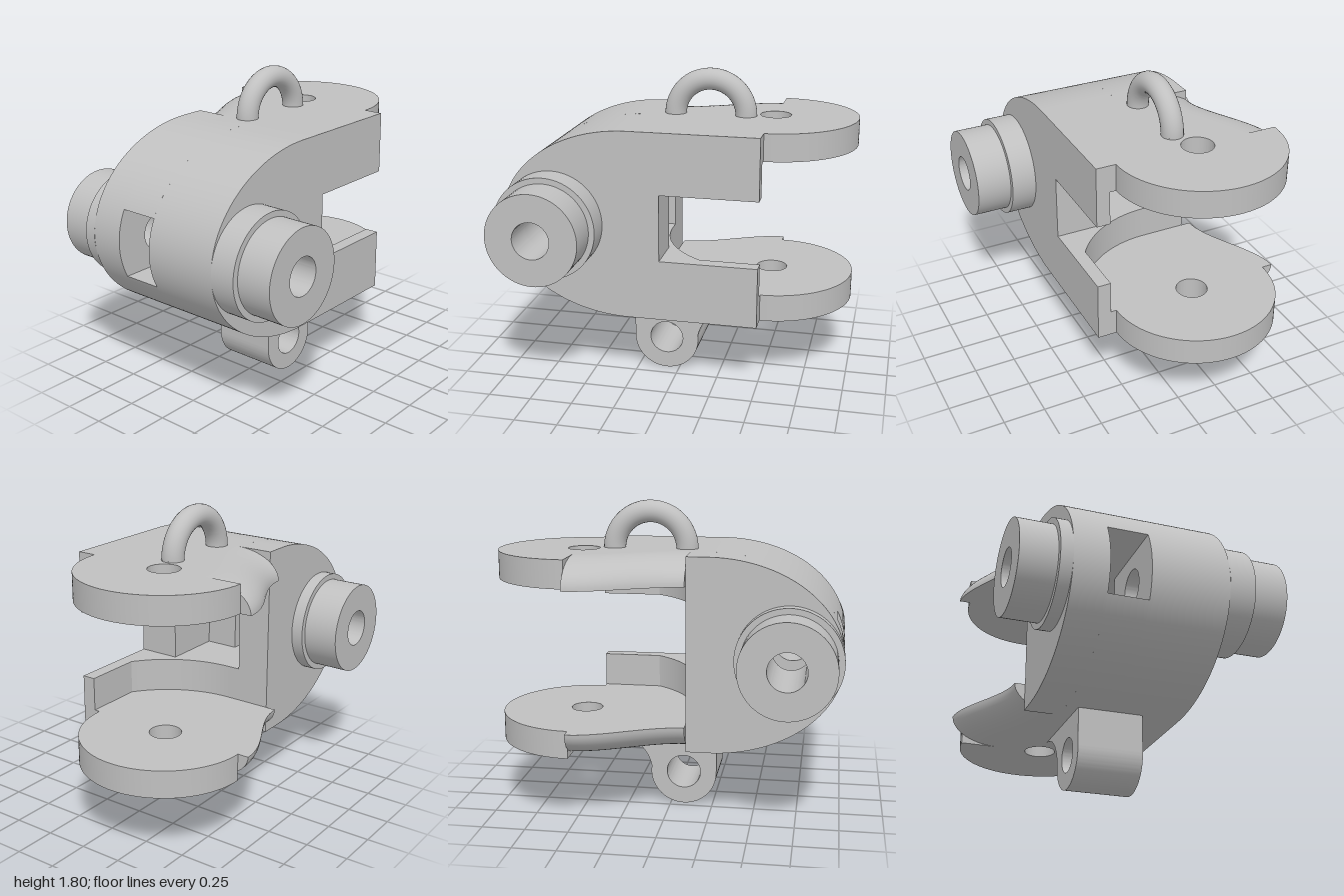
import * as THREE from 'three';
import { toCreasedNormals, mergeVertices } from 'three/addons/utils/BufferGeometryUtils.js';

const MID = 0.972, HALF = 0.557, SLOT = 0.197; // mid height, half height, half slot
const BACK = -0.125, ARM = 0.505;              // where the arms begin and end in x
const AXLE = -0.7, BORE = 0.108, PIN_Z = -0.205;

export function createModel() {
  const group = new THREE.Group();
  const steel = new THREE.MeshStandardMaterial({ color: 0xc0c0c0 });
  steel.name = 'steel grey';

  const add = (name, geometry) => {
    const mesh = new THREE.Mesh(toCreasedNormals(geometry, 0.5), steel);
    mesh.name = name;
    group.add(mesh);
    return mesh;
  };
  const extrude = (shape, depth) =>
    new THREE.ExtrudeGeometry(shape, { depth, bevelEnabled: false, curveSegments: 40 });
  // side profile, extruded from z0 to z1
  const alongZ = (name, shape, z0, z1) => add(name, extrude(shape, z1 - z0).translate(0, 0, z0));
  // plan outline drawn as (x, -z), extruded from y0 to y1
  const alongY = (name, shape, y0, y1) =>
    add(name, extrude(shape, y1 - y0).rotateX(-Math.PI / 2).translate(0, y0, 0));
  const hole = (shape, x, y, r) => {
    shape.holes.push(new THREE.Path().absarc(x, y, r, 0, Math.PI * 2, true));
    return shape;
  };
  const disc = (x, y, r) => new THREE.Shape().absarc(x, y, r, 0, Math.PI * 2, false);

  // Rounded body, in layers from back to front
  const bodyProfile = (notched) => {
    const s = new THREE.Shape();
    s.moveTo(BACK, MID + HALF);
    s.lineTo(-0.25, MID + HALF);
    s.absellipse(-0.25, MID, 0.75, HALF, Math.PI / 2, Math.PI * 1.5, false);
    s.lineTo(BACK, MID - HALF);
    if (notched) {
      s.lineTo(BACK, MID - SLOT);
      s.lineTo(-0.43, MID - SLOT);
      s.lineTo(-0.43, MID + SLOT);
      s.lineTo(BACK, MID + SLOT);
    }
    return hole(s, AXLE, MID, BORE);
  };
  alongZ('bodyBack', bodyProfile(false), -0.48, -0.28);
  alongZ('bodyFront', bodyProfile(true), -0.05, 0.4);

  // Body above and below the through slot
  const a = Math.asin(SLOT / HALF);
  const upper = new THREE.Shape();
  upper.moveTo(BACK, MID + SLOT);
  upper.lineTo(BACK, MID + HALF);
  upper.lineTo(-0.25, MID + HALF);
  upper.absellipse(-0.25, MID, 0.75, HALF, Math.PI / 2, Math.PI - a, false);
  alongZ('bodyUpper', upper, -0.28, -0.05);
  const lower = new THREE.Shape();
  lower.moveTo(BACK, MID - SLOT);
  lower.lineTo(BACK, MID - HALF);
  lower.lineTo(-0.25, MID - HALF);
  lower.absellipse(-0.25, MID, 0.75, HALF, -Math.PI / 2, -Math.PI + a, true);
  alongZ('bodyLower', lower, -0.28, -0.05);

  // Stop block in the front of the slot
  add('stopBlock', new THREE.BoxGeometry(0.365, SLOT * 2, 0.25).translate(-0.2475, MID, 0.275));

  // Back edge of the arm plates, an S curve in plan
  const WING = 0.28, STEPS = 28;
  const edgeZ = (t) => -0.54 - 0.22 * t * t * (3 - 2 * t);
  const xAt = (t) => BACK + (ARM - BACK) * t;

  const plate = new THREE.Shape();
  plate.moveTo(BACK, -0.4);
  plate.lineTo(ARM, -0.4);
  plate.lineTo(ARM, -PIN_Z - 0.49);
  plate.absarc(ARM, -PIN_Z, 0.49, -Math.PI / 2, Math.PI / 2, false);
  for (let i = STEPS; i >= 0; i--) plate.lineTo(xAt(i / STEPS), -(edgeZ(i / STEPS) + WING));
  hole(plate, ARM, -PIN_Z, 0.092);

  // Cheek between plate and slot, with a round clearance for the joint
  const cheek = new THREE.Shape();
  const start = Math.PI + Math.asin((0.32 - PIN_Z) / 0.63);
  cheek.moveTo(BACK, -0.4);
  cheek.lineTo(ARM, -0.4);
  cheek.lineTo(ARM, -0.32);
  cheek.absarc(ARM, -PIN_Z, 0.63, start, Math.PI, true);

  // Wing: quarter-ellipse section swept along the S curve
  const wingGeometry = (side) => {
    const inner = MID + side * 0.397, N = 14, pos = [], idx = [];
    const ring = N + 2;
    for (let i = 0; i <= STEPS; i++) {
      const t = i / STEPS, z = edgeZ(t) + WING;
      for (let j = 0; j <= N; j++) {
        const u = (j / N) * Math.PI / 2;
        pos.push(xAt(t), inner + side * 0.16 * Math.cos(u), z - WING * Math.sin(u));
      }
      pos.push(xAt(t), inner, z);
    }
    const tri = (p, q, r) => (side > 0 ? idx.push(p, q, r) : idx.push(p, r, q));
    for (let i = 0; i < STEPS; i++) {
      for (let j = 0; j < ring; j++) {
        const k = (j + 1) % ring, p = i * ring, q = p + ring;
        tri(p + j, q + j, q + k);
        tri(p + j, q + k, p + k);
      }
    }
    const end = STEPS * ring;
    for (let j = 0; j < N; j++) {
      tri(ring - 1, j, j + 1);
      tri(end + ring - 1, end + j + 1, end + j);
    }
    const g = new THREE.BufferGeometry();
    g.setAttribute('position', new THREE.Float32BufferAttribute(pos, 3));
    g.setIndex(idx);
    return mergeVertices(g);
  };

  // Upper and lower arms
  for (const [name, side] of [['upper', 1], ['lower', -1]]) {
    const span = (p, q) => [MID + side * p, MID + side * q].sort((m, n) => m - n);
    alongY(name + 'ArmPlate', plate, ...span(0.397, HALF));
    alongY(name + 'ArmCheek', cheek, ...span(SLOT, 0.397));
    add(name + 'ArmWing', wingGeometry(side));
  }

  // Bored collars and trunnions on both sides
  const collar = hole(disc(AXLE, MID, 0.302), AXLE, MID, BORE);
  const trunnion = hole(disc(AXLE, MID, 0.268), AXLE, MID, BORE);
  alongZ('frontCollar', collar, 0.4, 0.55);
  alongZ('frontTrunnion', trunnion, 0.55, 0.757);
  alongZ('backCollar', collar, -0.55, -0.48);
  alongZ('backTrunnion', trunnion, -0.757, -0.55);

  // Bottom eye with a filleted side
  const eye = new THREE.Shape();
  eye.moveTo(0.36, 0.42);
  eye.lineTo(-0.272, 0.42);
  eye.lineTo(-0.272, 0.2);
  eye.absarc(-0.077, 0.197, 0.195, Math.PI, Math.PI * 2 + 0.15, false);
  eye.bezierCurveTo(0.14, 0.34, 0.23, 0.415, 0.36, 0.416);
  alongZ('bottomEye', hole(eye, -0.077, 0.2, 0.1), -0.21, 0.17);

  // Lifting ring on top
  const ringGeometry = new THREE.TorusGeometry(0.212, 0.064, 24, 48, Math.PI);
  add('liftingRing', ringGeometry.translate(0.126, 1.527, -0.138));
  for (const s of [-1, 1]) {
    add('ringFoot', new THREE.CylinderGeometry(0.064, 0.064, 0.05, 24)
      .translate(0.126 + s * 0.212, 1.51, -0.138));
  }
  return group;
}
